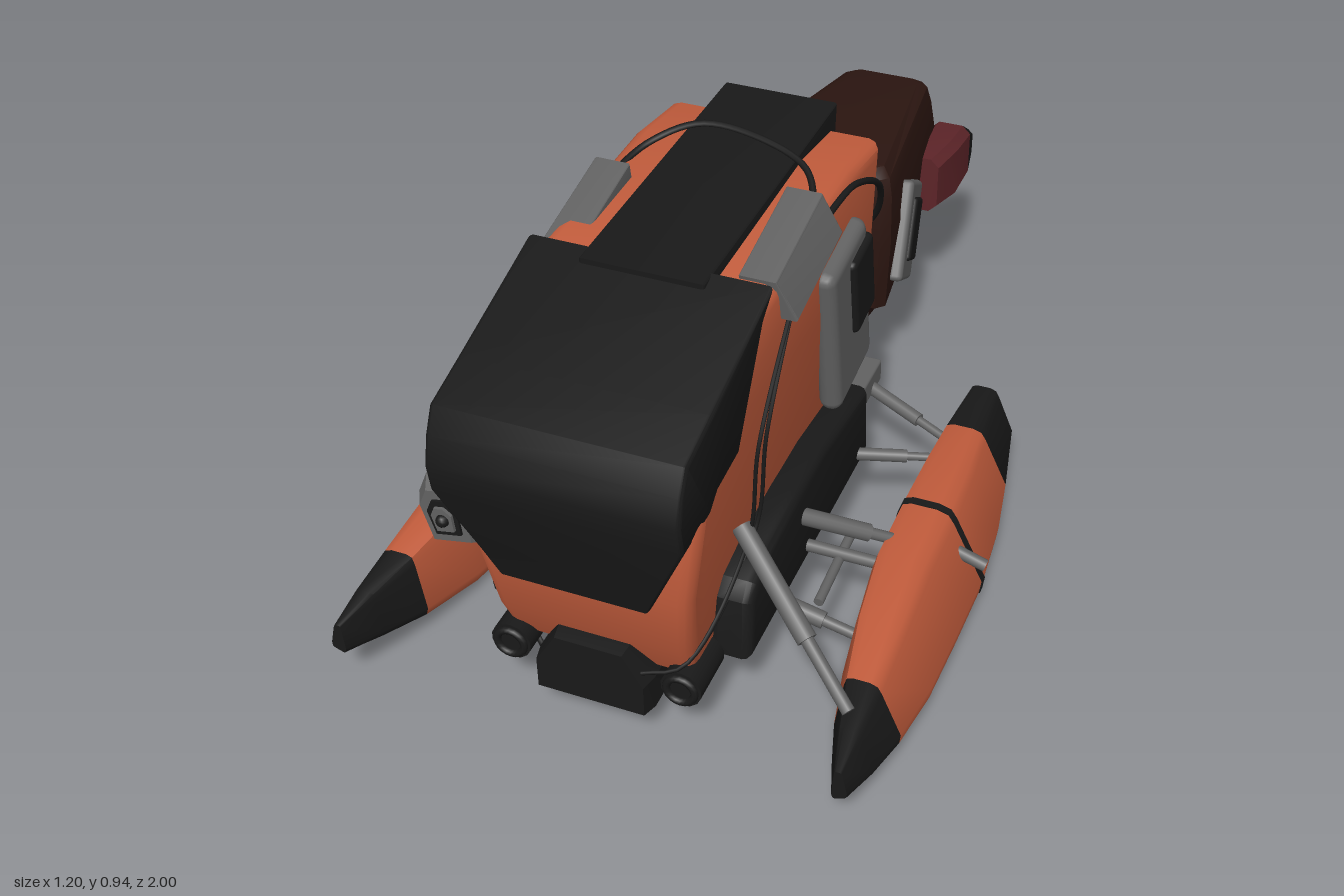
import * as THREE from 'three';
import { toCreasedNormals } from 'three/addons/utils/BufferGeometryUtils.js';
import { RoundedBoxGeometry } from 'three/addons/geometries/RoundedBoxGeometry.js';

const mat = (color) => new THREE.MeshStandardMaterial({ color });
const ORANGE = mat(0xc25c3c), BLACK = mat(0x191919), GREY = mat(0x626262), BROWN = mat(0x2c1611), RED = mat(0x5c2428);
const V = (x, y, z) => new THREE.Vector3(x, y, z);
const CX = -0.015; // centre line of the hull

export function createModel() {
  const root = new THREE.Group();
  const add = (name, geo, material, parent = root) => {
    const m = new THREE.Mesh(geo, material);
    m.name = name;
    parent.add(m);
    return m;
  };

  // Skin between rings of points, with flat end caps
  const loft = (rings, crease = 0.6) => {
    const p = [], n = rings[0].length;
    const tri = (...vs) => vs.forEach((v) => p.push(v.x, v.y, v.z));
    for (let i = 0; i < rings.length - 1; i++) {
      for (let j = 0; j < n; j++) {
        const k = (j + 1) % n, a = rings[i], b = rings[i + 1];
        tri(a[j], a[k], b[k]);
        tri(a[j], b[k], b[j]);
      }
    }
    const first = rings[0], last = rings[rings.length - 1];
    for (let j = 1; j < n - 1; j++) {
      tri(first[0], first[j + 1], first[j]);
      tri(last[0], last[j], last[j + 1]);
    }
    const g = new THREE.BufferGeometry();
    g.setAttribute('position', new THREE.Float32BufferAttribute(p, 3));
    return toCreasedNormals(g, crease);
  };

  // Chamfered upright rectangle at depth z
  const rect = (z, cx, h, y0, y1, c) => [
    [h - c, y0], [h, y0 + c], [h, y1 - c], [h - c, y1], [c - h, y1], [-h, y1 - c], [-h, y0 + c], [c - h, y0],
  ].map(([x, y]) => V(cx + x, y, z));

  // Side outline in (z, y) pushed across x; widthAt narrows it by height
  const slab = (outline, x0, x1, bevel, crease = 0.5, widthAt = () => 1) => {
    const shape = new THREE.Shape(outline.map(([z, y]) => new THREE.Vector2(z, y)));
    const g = new THREE.ExtrudeGeometry(shape, {
      depth: x1 - x0 - 2 * bevel, bevelSize: bevel, bevelThickness: bevel, bevelOffset: -bevel, bevelSegments: 3,
    });
    g.rotateY(-Math.PI / 2).translate(x1 - bevel, 0, 0);
    const p = g.attributes.position, mid = (x0 + x1) / 2;
    for (let i = 0; i < p.count; i++) p.setX(i, mid + (p.getX(i) - mid) * widthAt(p.getY(i)));
    return toCreasedNormals(g, crease);
  };
  const ramp = (y, low, from, to) => low + (1 - low) * THREE.MathUtils.clamp((y - from) / (to - from), 0, 1);

  const box = (name, size, pos, material, rot = [0, 0, 0], r = 0.012) => {
    const m = add(name, new RoundedBoxGeometry(...size, 2, r), material);
    m.position.set(...pos);
    m.rotation.set(...rot, 'YXZ');
  };

  const rod = (name, a, b, r, material = GREY) => {
    const d = b.clone().sub(a);
    const m = add(name, new THREE.CylinderGeometry(r, r, d.length(), 14), material);
    m.position.copy(a).addScaledVector(d, 0.5);
    m.quaternion.setFromUnitVectors(V(0, 1, 0), d.normalize());
  };
  const strut = (a, b, r = 0.018) => {
    const mid = a.clone().lerp(b, 0.62);
    rod('strutSleeve', a, mid, r);
    rod('strutPiston', mid, b, r * 0.65);
  };
  const cable = (pts, r = 0.007) =>
    add('cable', new THREE.TubeGeometry(new THREE.CatmullRomCurve3(pts.map((p) => V(...p))), 36, r, 7), BLACK);

  // Cabin hull
  add('hull', slab([[0, 0.18], [0.84, 0.18], [0.88, 0.27], [0.91, 0.42], [0.9, 0.6], [0.86, 0.75], [0.6, 0.875],
    [0.1, 0.885], [-0.07, 0.86], [-0.035, 0.6], [-0.01, 0.33]], CX - 0.237, CX + 0.237, 0.028, 0.6,
  (y) => ramp(y, 0.82, 0.2, 0.6)), ORANGE);

  // Wraparound windscreen, narrowing at its lower edge
  add('windscreen', slab([[0.56, 0.9], [0.61, 0.855], [0.73, 0.65], [0.83, 0.64], [0.86, 0.615], [0.88, 0.5], [0.89, 0.405],
    [0.94, 0.41], [0.955, 0.48], [0.99, 0.62], [1.0, 0.68], [0.985, 0.74], [0.96, 0.79], [0.85, 0.82]],
  CX - 0.243, CX + 0.243, 0.008, 0.7, (y) => ramp(y, 0.61, 0.41, 0.62)), BLACK);

  // Roof strip folding down over the back
  add('roofStrip', slab([[0.6, 0.9], [-0.11, 0.905], [-0.08, 0.63], [-0.03, 0.63], [-0.04, 0.85], [0.6, 0.85]],
    CX - 0.125, CX + 0.125, 0.006), BLACK);
  box('rearCanister', [0.13, 0.18, 0.08], [CX, 0.625, -0.11], BLACK, [0, 0, 0], 0.03);
  box('rearCoupling', [0.13, 0.03, 0.1], [CX, 0.505, -0.105], GREY);
  box('rearCouplingBlock', [0.07, 0.06, 0.06], [CX, 0.49, -0.08], GREY);

  // Underside
  add('keel', loft([rect(-0.14, CX, 0.1, 0.16, 0.25, 0.03), rect(0.05, CX, 0.135, 0.13, 0.25, 0.04),
    rect(0.7, CX, 0.135, 0.13, 0.25, 0.04), rect(0.82, CX, 0.11, 0.15, 0.25, 0.03)], 0.2), GREY);
  box('rearPlate', [0.46, 0.055, 0.17], [CX, 0.225, -0.065], GREY, [0, 0, 0], 0.006);

  // Front bumper and lamps
  add('bumper', loft([[0.72, 1], [0.865, 1], [0.9, 0.93]].map(([z, k]) => [
    [-0.12, 0.095], [0.12, 0.095], [0.12, 0.17], [0.075, 0.245], [-0.075, 0.245], [-0.12, 0.17],
  ].map(([x, y]) => V(CX + x * k, 0.165 + (y - 0.165) * k, z))), 0.3), BLACK);
  for (const s of [-1, 1]) {
    const x = CX + s * 0.178;
    rod('lampHousing', V(x, 0.17, 0.76), V(x, 0.17, 0.875), 0.042, BLACK);
    const ring = add('lampRing', new THREE.TorusGeometry(0.029, 0.008, 8, 20), BLACK);
    ring.position.set(x, 0.17, 0.877);
  }

  // Side skirts
  for (const s of [-1, 1]) {
    const mid = -0.02 + s * 0.235;
    add('sideSkirt', slab([[0.07, 0.17], [0.76, 0.17], [0.755, 0.31], [0.73, 0.345], [0.65, 0.37], [0.5, 0.385], [0.35, 0.385], [0.08, 0.345]],
      mid - 0.045, mid + 0.045, 0.02, 0.6), BLACK);
  }

  // Roof edge boxes with the outer top edge cut away
  for (const s of [-1, 1]) {
    const g = slab([[-0.125, -0.045], [0.125, -0.045], [0.125, 0.045], [-0.125, 0.045]], -0.055, 0.055, 0.004);
    const p = g.attributes.position;
    for (let i = 0; i < p.count; i++) if (p.getX(i) * s > 0 && p.getY(i) > 0) p.setX(i, p.getX(i) - s * 0.035);
    const m = add('roofEdgeBox', toCreasedNormals(g, 0.4), GREY);
    m.position.set(s > 0 ? 0.2 : -0.235, s > 0 ? 0.865 : 0.845, 0.395);
    m.rotation.x = 0.2;
  }

  // Side door with window on one side, tall service panel on the other
  box('sideDoor', [0.05, 0.37, 0.21], [0.228, 0.59, 0.175], GREY, [0.16, 0, 0], 0.024);
  box('doorWindow', [0.03, 0.19, 0.115], [0.25, 0.65, 0.138], BLACK, [0.16, 0, 0], 0.014);
  box('servicePanel', [0.05, 0.46, 0.19], [-0.25, 0.58, 0.32], GREY);
  box('servicePanelInset', [0.02, 0.38, 0.13], [-0.272, 0.57, 0.32], GREY, [0, 0, 0], 0.006);

  // Nose sensor on the right flank
  const sensor = new THREE.Group();
  sensor.name = 'noseSensor';
  sensor.position.set(-0.258, 0.525, 0.85);
  sensor.rotation.z = 0.2;
  root.add(sensor);
  const hex = (k, z) => [[0.05, -0.075], [0.06, 0.03], [0.02, 0.075], [-0.035, 0.075], [-0.065, 0.03], [-0.055, -0.075]]
    .map(([x, y]) => V(x * k, y * k, z));
  add('sensorCase', loft([hex(0.85, -0.1), hex(1, -0.06), hex(1, 0.07), hex(0.75, 0.1)], 0.2), GREY, sensor);
  add('sensorFace', loft([hex(0.5, 0.09), hex(0.5, 0.106)], 0.2), BLACK, sensor);
  add('sensorFrame', loft([hex(0.36, 0.1), hex(0.34, 0.112)], 0.2), GREY, sensor);
  const lens = add('sensorLens', new THREE.SphereGeometry(0.013, 12, 8), BLACK, sensor);
  lens.position.z = 0.112;

  // Floats: one slanted, rounded cross-section scaled along the length
  const section = [[-0.12, 0.05], [-0.113, 0.025], [-0.085, 0.01], [0.065, 0.036], [0.09, 0.05], [0.094, 0.08],
    [0.028, 0.215], [0.015, 0.235], [-0.01, 0.243], [-0.065, 0.243], [-0.084, 0.235], [-0.092, 0.21]];
  const floatRing = (s, [z, kx, ky, dx = 0, dy = 0], grow = 1) => {
    const ring = section.map(([x, y]) => V(s * (0.487 + dx + (x + 0.01) * kx * grow) - 0.006, 0.126 + dy + (y - 0.126) * ky * grow, z));
    return s > 0 ? ring : ring.reverse();
  };
  const stations = [[-0.2, 0.55, 0.64, -0.025], [-0.02, 0.79, 0.81, -0.014], [0.12, 0.93, 0.93, -0.005], [0.28, 1, 1], [0.45, 0.98, 0.99],
    [0.62, 0.85, 0.9, 0.01, 0], [0.77, 0.62, 0.7, 0.02, 0.004], [0.88, 0.38, 0.5, 0.028, 0.013], [0.97, 0.14, 0.3, 0.032, 0.02]];
  for (const s of [-1, 1]) {
    const part = (a, b) => loft(stations.slice(a, b).map((t) => floatRing(s, t)), 0.8);
    add('floatTail', part(0, 2), BLACK);
    add('floatBody', part(1, 7), ORANGE);
    add('floatNose', part(6, 9), BLACK);
    add('floatBand', loft([0.272, 0.29].map((z) => floatRing(s, [z, 1, 1], 1.02)), 0.8), BLACK);

    // Struts between hull and float
    strut(V(s * 0.24, 0.31, 0.48), V(s * 0.46, 0.21, 0.37));
    strut(V(s * 0.18, 0.14, 0.54), V(s * 0.42, 0.085, 0.54));
    strut(V(s * 0.2, 0.21, -0.1), V(s * 0.42, 0.17, -0.02), 0.015);
    strut(V(s * 0.22, 0.21, 0.15), V(s * 0.44, 0.2, 0.07), 0.014);
    rod('crossRod', V(s * 0.22, 0.21, 0.45), V(s * 0.42, 0.21, 0.45), 0.013);
  }
  strut(V(0.21, 0.43, 0.68), V(0.49, 0.22, 0.86), 0.02);
  strut(V(-0.29, 0.28, 0.5), V(-0.43, 0.1, 0.56), 0.016);
  rod('damper', V(0.33, 0.21, 0.38), V(0.33, 0.19, 0.58), 0.01);
  rod('floatValve', V(0.52, 0.17, 0.31), V(0.595, 0.145, 0.31), 0.013);
  rod('floatCap', V(-0.5, 0.22, 0.26), V(-0.51, 0.255, 0.26), 0.01);

  // Rear engine: stacked level sections [y front, y rear, z front, z rear, half width front, half width rear]
  const level = ([yf, yr, zf, zr, hf, hr], c = 0.02) => [
    [c - hf, zf, yf], [hf - c, zf, yf], [hf, zf - c, yf], [hr, zr + c, yr],
    [hr - c, zr, yr], [c - hr, zr, yr], [-hr, zr + c, yr], [-hf, zf - c, yf],
  ].map(([x, z, y]) => V(CX + x, y, z));
  add('engineHousing', loft([
    [0.275, 0.275, -0.3, -0.83, 0.18, 0.12], [0.46, 0.46, -0.275, -0.87, 0.195, 0.125],
    [0.58, 0.53, -0.285, -0.865, 0.19, 0.115], [0.622, 0.572, -0.295, -0.858, 0.18, 0.105], [0.638, 0.586, -0.315, -0.84, 0.16, 0.085],
  ].map((l) => level(l)), 0.55), BROWN);
  add('engineSump', loft([[0.105, 0.105, -0.42, -0.66, 0.07, 0.06], [0.13, 0.13, -0.395, -0.69, 0.09, 0.075],
    [0.28, 0.28, -0.3, -0.83, 0.165, 0.11]].map((l) => level(l)), 0.4), BROWN);
  add('engineNeck', loft([[-0.32, 0.15, 0.28, 0.56], [-0.27, 0.115, 0.28, 0.515], [-0.2, 0.09, 0.275, 0.45],
    [-0.12, 0.088, 0.28, 0.42], [0.02, 0.1, 0.3, 0.43]].map(([z, h, a, b]) => rect(z, CX, h, a, b, 0.03)), 0.6), BROWN);
  box('engineSideBox', [0.12, 0.14, 0.2], [CX - 0.11, 0.18, -0.53], GREY, [0.1, -0.1, 0], 0.025);

  // Engine side brackets, each with a dark inset
  for (const [s, tilt, y, z, width, insetHeight] of [[1, -0.52, 0.4, -0.46, 0.145, 0.15], [-1, -0.08, 0.44, -0.41, 0.11, 0.18]]) {
    const x = CX + s * 0.178;
    box('engineBracket', [0.035, 0.235, width], [x, y, z], GREY, [tilt, s * 0.12, 0]);
    box('bracketInset', [0.03, insetHeight, width * 0.6], [x + s * 0.01, y, z - 0.01], BLACK, [tilt, s * 0.12, 0], 0.01);
  }

  // Thrusters
  for (const s of [-1, 1]) {
    const cx = CX + s * 0.158;
    const mouth = rect(-0.885, cx, 0.05, 0.31, 0.455, 0.02);
    add('thruster', loft([mouth, rect(-0.78, cx - s * 0.004, 0.052, 0.305, 0.465, 0.02),
      rect(-0.69, cx - s * 0.012, 0.04, 0.315, 0.46, 0.02)], 0.5), RED);
    add('thrusterTip', loft([rect(-1, cx + s * 0.005, 0.018, 0.345, 0.37, 0.006), rect(-0.96, cx + s * 0.003, 0.034, 0.33, 0.405, 0.012), mouth], 0.5), BLACK);
  }

  // Cables over the roof, down the flanks and to the engine
  cable([[-0.24, 0.86, 0.3], [-0.19, 0.9, 0.17], [-0.1, 0.935, 0.12], [0.02, 0.93, 0.12], [0.14, 0.905, 0.16], [0.2, 0.87, 0.27]]);
  cable([[0.22, 0.87, 0.27], [0.235, 0.88, 0.15], [0.24, 0.8, 0.0], [0.2, 0.66, -0.09], [0.06, 0.51, -0.12]]);
  for (let i = 0; i < 4; i++) {
    const z = 0.12 + i * 0.02;
    cable([[-0.25, 0.84, 0.3 + i * 0.02], [-0.275, 0.76, z + 0.06], [-0.265, 0.58, z], [-0.24, 0.42, z - 0.1], [-0.2, 0.3, z - 0.16]], 0.006);
  }
  for (let i = 0; i < 3; i++) {
    const x = -0.12 - i * 0.03;
    cable([[-0.05, 0.5, -0.12], [x, 0.42, -0.13], [x - 0.01, 0.22 - i * 0.03, -0.17], [x, 0.1 - i * 0.015, -0.27], [x + 0.02, 0.1, -0.37], [x + 0.02, 0.2, -0.42]], 0.006);
  }
  for (const x of [-0.2, -0.16]) {
    cable([[x, 0.16, 0.72], [x - 0.01, 0.09, 0.75], [x + 0.03, 0.065, 0.78], [x + 0.06, 0.13, 0.8]], 0.006);
  }
  for (const z of [0.62, 0.66]) cable([[0.23, 0.84, 0.44], [0.238, 0.62, z], [0.225, 0.4, z + 0.03], [0.17, 0.23, 0.87], [0.09, 0.2, 0.89]], 0.004);
  return root;
}
